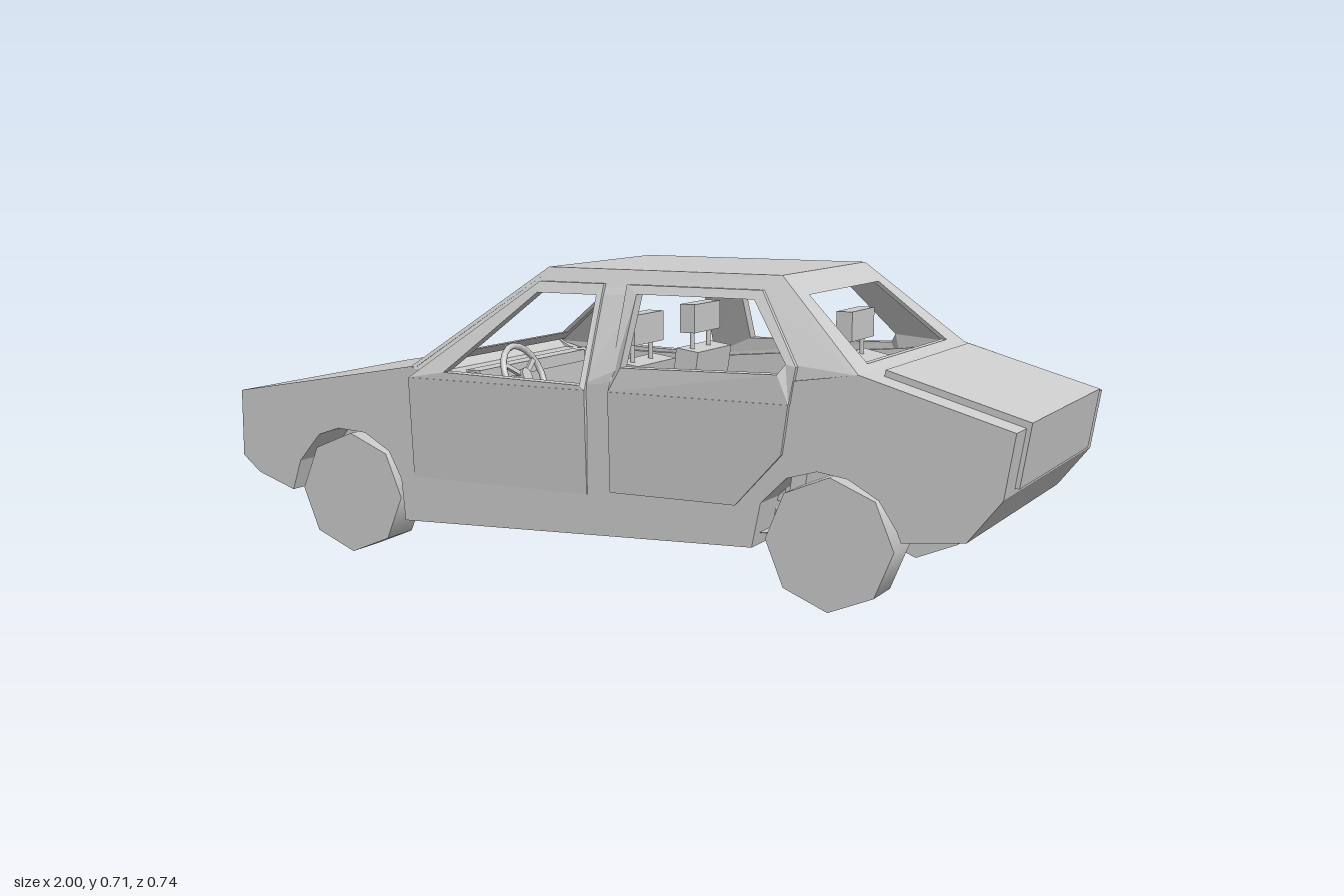
import * as THREE from 'three';

export function createModel() {
  const car = new THREE.Group();
  car.name = 'car';
  const grey = new THREE.MeshStandardMaterial({ color: 0xcccccc, side: THREE.DoubleSide });
  grey.name = 'plain grey';

  function add(name, geometry, x = 0, y = 0, z = 0) {
    const mesh = new THREE.Mesh(geometry, grey);
    mesh.name = name;
    mesh.position.set(x, y, z);
    car.add(mesh);
    return mesh;
  }
  const box = (name, w, h, d, x, y, z) => add(name, new THREE.BoxGeometry(w, h, d), x, y, z);
  const toPath = (pts, Type) => new Type(pts.map(([x, y]) => new THREE.Vector2(x, y)));

  // Extruded outline whose points are placed by a rule (x, y, depth) => [x, y, z]
  function panel(name, outline, holes, depth, place) {
    const shape = toPath(outline, THREE.Shape);
    shape.holes = holes.map((h) => toPath(h, THREE.Path));
    const g = new THREE.ExtrudeGeometry(shape, { depth, bevelEnabled: false });
    const p = g.attributes.position;
    for (let i = 0; i < p.count; i++) p.setXYZ(i, ...place(p.getX(i), p.getY(i), p.getZ(i)));
    g.computeVertexNormals();
    return add(name, g);
  }

  // Lower body in layers: centre tub, wheel-arch layer and outer side wall
  const HALF = 0.357, WELL = 0.235, WALL = 0.325;
  const nose = [[-0.48, 0.475], [-1, 0.385], [-1, 0.22], [-0.95, 0.18], [-0.845, 0.145]];
  const tail = [[0.75, 0.175], [0.89, 0.19], [0.965, 0.285], [0.988, 0.425], [0.65, 0.522]];
  const frontArch = [[-0.82, 0.22], [-0.76, 0.29], [-0.7, 0.31], [-0.62, 0.305], [-0.55, 0.265], [-0.515, 0.2]];
  const rearArch = [[0.43, 0.23], [0.49, 0.29], [0.56, 0.31], [0.63, 0.3], [0.7, 0.26], [0.74, 0.2]];
  const sill = [[-0.505, 0.1], [0.41, 0.13]];
  const cabin = [[0.52, 0.5], [0.47, 0.16], [-0.45, 0.14], [-0.45, 0.45]];
  const belt = [[0.5, 0.5], [0, 0.455], [-0.44, 0.455]];
  const arched = [...nose, ...frontArch, sill[0], sill[1], ...rearArch, ...tail];

  panel('bodyCentre', [...nose, ...sill, ...tail, ...cabin], [], WELL * 2, (x, y, d) => [x, y, d - WELL]);
  for (const s of [1, -1]) {
    panel('wheelArch', [...arched, ...cabin], [], WALL - WELL, (x, y, d) => [x, y, s * (WELL + d)]);
    panel('bodySide', [...arched, ...belt], [], HALF - WALL, (x, y, d) => [x, y, s * (WALL + d)]);
  }

  // Boot lid wrapping over the tail
  panel('bootLid', [[0.68, 0.51], [0.683, 0.527], [1, 0.437], [0.977, 0.298], [0.96, 0.298], [0.98, 0.42]],
    [], 0.57, (x, y, d) => [x, y, d - 0.285]);

  // Roof and the two open window frames
  box('roof', 0.59, 0.02, 0.5, 0.135, 0.705, 0);
  panel('windscreenFrame', [[-HALF, 0.475], [HALF, 0.475], [0.25, 0.715], [-0.25, 0.715]],
    [[[-0.3, 0.497], [0.3, 0.497], [0.235, 0.677], [-0.235, 0.677]]], 0.015,
    (z, y, d) => [-0.48 + ((y - 0.475) / 0.24) * 0.32 + d, y, z]);
  panel('rearWindowFrame', [[-HALF, 0.522], [HALF, 0.522], [0.25, 0.715], [-0.25, 0.715]],
    [[[-0.265, 0.535], [0.265, 0.535], [0.215, 0.672], [-0.215, 0.672]]], 0.015,
    (z, y, d) => [0.65 - ((y - 0.522) / 0.193) * 0.22 - d, y, z]);

  // Cabin sides lean inward above the belt line
  function sideZ(x, y) {
    const b = 0.475 + (x + 0.48) * 0.04;
    return HALF - 0.107 * THREE.MathUtils.clamp((y - b) / (0.715 - b), 0, 1);
  }
  const frontWindow = [[-0.38, 0.468], [-0.013, 0.46], [-0.013, 0.658], [-0.17, 0.658]];
  const rearWindow = [[0.09, 0.505], [0.47, 0.513], [0.485, 0.535], [0.38, 0.663], [0.09, 0.663]];

  for (const s of [1, -1]) {
    panel('sideFrame', [[-0.48, 0.47], [-0.4, 0.45], [0.5, 0.45], [0.65, 0.52], [0.43, 0.715], [-0.16, 0.715]],
      [frontWindow, rearWindow], 0.02, (x, y, d) => [x, y, s * (sideZ(x, y) - d)]);

    // Doors: bulging lower skin and leaning window surround
    const skin = (x, y, d) => [x, y, s * (HALF - 0.008 + d + (0.011 * (y - 0.2)) / 0.25)];
    const surround = (x, y, d) => [x, y, s * (sideZ(x, y) + 0.011 - d)];
    panel('frontDoor', [[-0.475, 0.21], [0, 0.21], [0, 0.45], [-0.48, 0.45]], [], 0.01, skin);
    panel('rearDoor', [[0.06, 0.22], [0.37, 0.22], [0.48, 0.34], [0.497, 0.45], [0.06, 0.45]], [], 0.01, skin);
    panel('frontDoorWindowFrame', [[-0.48, 0.45], [0, 0.45], [0, 0.683], [-0.17, 0.683]],
      [frontWindow], 0.014, surround);
    panel('rearDoorWindowFrame', [[0.06, 0.45], [0.497, 0.45], [0.51, 0.53], [0.395, 0.683], [0.06, 0.683]],
      [rearWindow], 0.014, surround);

    // Wheels
    for (const x of [-0.68, 0.58]) {
      const g = new THREE.CylinderGeometry(0.148, 0.148, 0.1, 8).rotateX(Math.PI / 2);
      add(x < 0 ? 'frontWheel' : 'rearWheel', g, x, 0.148, s * 0.286);
    }

    // Seats with headrests on two posts
    const z = s * 0.155;
    box('frontSeatCushion', 0.29, 0.08, 0.19, -0.14, 0.22, z);
    const back = box('frontSeatBack', 0.06, 0.28, 0.19, 0.025, 0.36, z);
    back.rotation.z = -0.14;
    for (const x of [0.04, 0.45]) {
      box('headrest', 0.04, 0.07, 0.145, x, 0.575, z + 0.014);
      for (const dz of [-0.045, 0.045])
        add('headrestPost', new THREE.CylinderGeometry(0.006, 0.006, 0.1, 8), x, 0.5, z + 0.014 + dz);
    }
  }

  // Rear bench
  box('rearBenchCushion', 0.25, 0.1, 0.52, 0.3, 0.22, 0);
  box('rearBenchBack', 0.07, 0.28, 0.52, 0.435, 0.36, 0).rotation.z = -0.2;

  // Dashboard, console and gear lever
  box('dashboard', 0.09, 0.09, 0.64, -0.41, 0.41, 0);
  box('instrumentPanel', 0.04, 0.03, 0.5, -0.375, 0.445, 0);
  box('centreConsole', 0.2, 0.09, 0.06, -0.22, 0.2, 0);
  add('gearLever', new THREE.CylinderGeometry(0.008, 0.008, 0.12, 8), -0.23, 0.3, 0);

  // Steering wheel with spokes and column
  const steering = new THREE.Group();
  steering.name = 'steeringWheel';
  const parts = [['rim', new THREE.TorusGeometry(0.08, 0.008, 8, 20).rotateY(Math.PI / 2)],
    ['hub', new THREE.CylinderGeometry(0.02, 0.02, 0.02, 12).rotateZ(Math.PI / 2)],
    ['column', new THREE.CylinderGeometry(0.01, 0.01, 0.1, 8).rotateZ(Math.PI / 2).translate(-0.05, 0, 0)]];
  for (let i = 0; i < 3; i++)
    parts.push(['spoke', new THREE.BoxGeometry(0.008, 0.08, 0.012).translate(0, -0.04, 0).rotateX((i * Math.PI * 2) / 3)]);
  for (const [name, g] of parts) {
    const mesh = new THREE.Mesh(g, grey);
    mesh.name = name;
    steering.add(mesh);
  }
  steering.position.set(-0.305, 0.435, 0.13);
  steering.rotation.z = 0.42;
  car.add(steering);

  return car;
}
